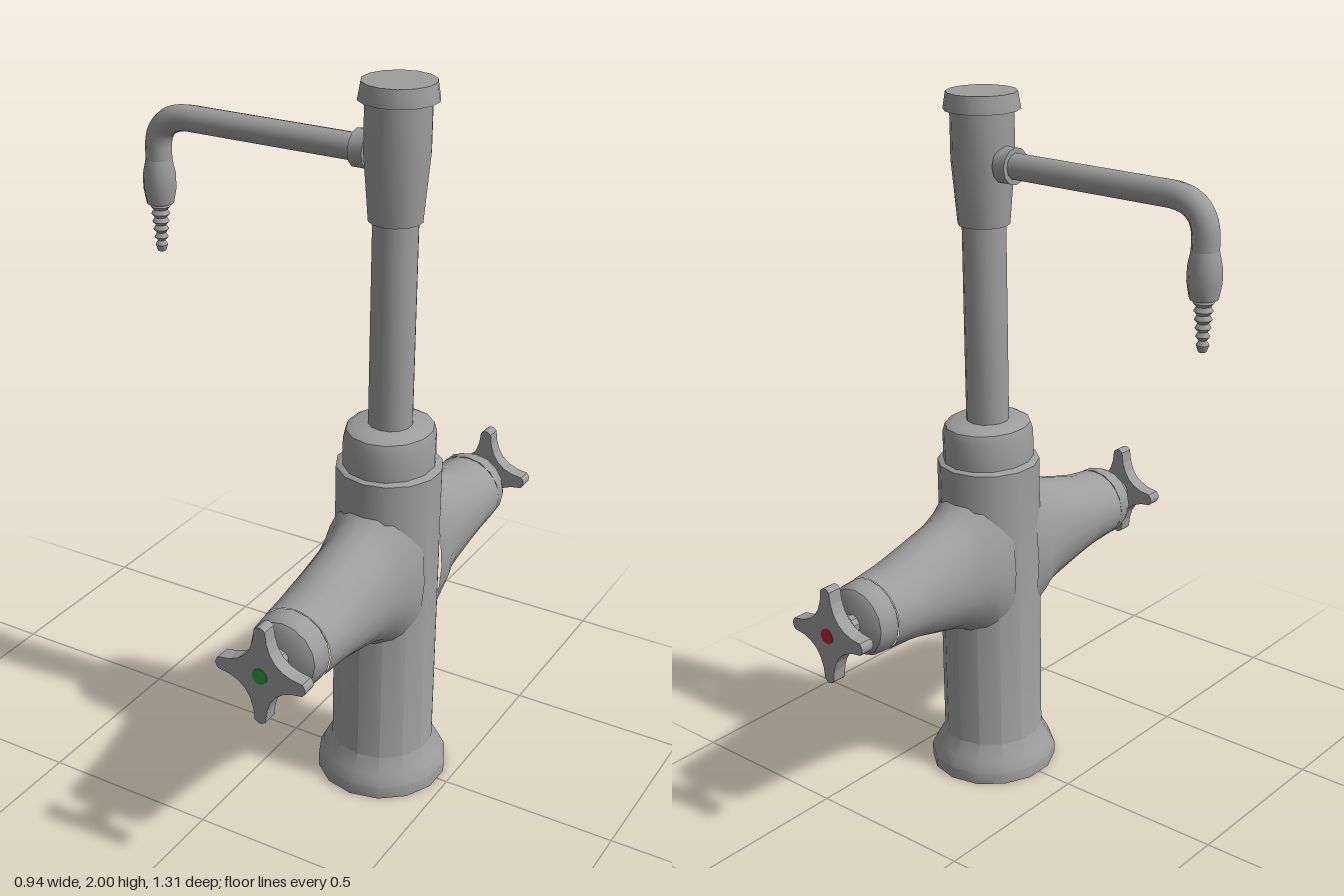
import * as THREE from 'three';
import { toCreasedNormals } from 'three/addons/utils/BufferGeometryUtils.js';

const AXIS_X = 0.29; // column axis
const ARM_Y = 0.662; // height of the side valves

export function createModel() {
  const mat = (name, color) => {
    const m = new THREE.MeshStandardMaterial({ color });
    m.name = name;
    return m;
  };
  const metal = mat('grey metal', 0x9e9e9e);
  const green = mat('green marker', 0x2c9a3c);
  const red = mat('red marker', 0xb8283c);

  const model = new THREE.Group();
  model.name = 'labTap';

  const add = (parent, name, geometry, material = metal) => {
    const mesh = new THREE.Mesh(geometry, material);
    mesh.name = name;
    parent.add(mesh);
    return mesh;
  };
  // Profile points are [radius, height], listed from bottom to top
  const turned = (points, sides = 14) => toCreasedNormals(
    new THREE.LatheGeometry(points.map(([r, y]) => new THREE.Vector2(r, y)), sides), 0.6);

  // Column: flared foot, body, collar, riser pipe, head and lid
  const column = new THREE.Group();
  column.name = 'column';
  column.position.x = AXIS_X;
  column.scale.x = 0.98;
  model.add(column);
  add(column, 'body', turned([[0, 0], [0.187, 0], [0.187, 0.035], [0.172, 0.065], [0.147, 0.11],
    [0.147, 0.965], [0.136, 0.972], [0, 0.972]]));
  add(column, 'collar', turned([[0.136, 0.965], [0.136, 1.05], [0.128, 1.075], [0.108, 1.086], [0, 1.086]]))
    .scale.x = 0.92;
  add(column, 'riserPipe', turned([[0.061, 1.07], [0.061, 1.66]]));
  add(column, 'head', turned([[0, 1.645], [0.072, 1.645], [0.08, 1.74], [0.087, 1.82], [0.087, 1.96]]));
  add(column, 'lid', turned([[0, 1.953], [0.105, 1.953], [0.097, 2], [0, 2]]));

  // Spout: socket, bent tube, nozzle and barbed hose tip
  const spout = new THREE.Group();
  spout.name = 'spout';
  model.add(spout);
  const socket = add(spout, 'spoutSocket', turned([[0, -0.02], [0.05, -0.02], [0.05, 0.02], [0, 0.02]], 12));
  socket.rotation.z = Math.PI / 2;
  socket.position.set(0.195, 1.815, 0);
  const path = new THREE.CurvePath();
  const v = (x, y) => new THREE.Vector3(x, y, 0);
  path.add(new THREE.LineCurve3(v(0.24, 1.815), v(-0.32, 1.815)));
  path.add(new THREE.CubicBezierCurve3(v(-0.32, 1.815), v(-0.39, 1.815), v(-0.43, 1.785), v(-0.43, 1.72)));
  path.add(new THREE.LineCurve3(v(-0.43, 1.72), v(-0.43, 1.66)));
  add(spout, 'spoutTube', new THREE.TubeGeometry(path, 48, 0.036, 12, false));
  const nozzle = add(spout, 'nozzle', turned([[0, 1.567], [0.037, 1.567], [0.045, 1.61], [0.044, 1.65],
    [0.036, 1.69], [0, 1.69]], 12));
  nozzle.position.x = -0.43;
  const barbs = [[0, 1.43], [0.011, 1.43]];
  for (let i = 0; i < 6; i++) {
    const y = 1.438 + i * 0.022;
    const r = 0.017 + i * 0.0022;
    barbs.push([r, y + 0.01], [r - 0.007, y + 0.022]);
  }
  barbs.push([0.022, 1.575]);
  add(spout, 'hoseTip', turned(barbs, 12)).position.x = -0.43;

  // Arm cross-sections: [z, half width, top, bottom] relative to the arm axis
  const sections = [
    [0.05, 0.142, 0.29, 0.27], [0.12, 0.139, 0.23, 0.2], [0.15, 0.131, 0.203, 0.178],
    [0.2, 0.12, 0.178, 0.157], [0.28, 0.115, 0.154, 0.137], [0.36, 0.113, 0.13, 0.117],
    [0.41, 0.111, 0.117, 0.108], [0.49, 0.107, 0.105, 0.104],
  ];
  const armGeometry = () => {
    const sides = 20;
    const geo = new THREE.CylinderGeometry(1, 1, 1, sides, sections.length - 1, true);
    const p = geo.attributes.position;
    for (let i = 0; i < p.count; i++) {
      const s = sections[sections.length - 1 - Math.floor(i / (sides + 1))];
      const x = p.getX(i);
      const y = -p.getZ(i);
      p.setXYZ(i, x * s[1], y * (y > 0 ? s[2] : s[3]), s[0]);
    }
    geo.computeVertexNormals();
    return geo;
  };

  // Cross handle outline with four tapering spokes
  const handleGeometry = () => {
    const shape = new THREE.Shape();
    const turn = (x, y, k) => {
      const a = k * Math.PI / 2;
      return [x * Math.cos(a) - y * Math.sin(a), x * Math.sin(a) + y * Math.cos(a)];
    };
    shape.moveTo(0.131, -0.017);
    for (let k = 0; k < 4; k++) {
      shape.quadraticCurveTo(...turn(0.148, 0, k), ...turn(0.131, 0.017, k));
      shape.quadraticCurveTo(...turn(0.022, 0.022, k), ...turn(0.017, 0.131, k));
    }
    return new THREE.ExtrudeGeometry(shape, { depth: 0.041, bevelEnabled: false, curveSegments: 6 });
  };

  // One valve per side, the rear one turned about the column
  const makeValve = (name, angle, marker) => {
    const valve = new THREE.Group();
    valve.name = name;
    valve.position.set(AXIS_X, ARM_Y, 0);
    valve.rotation.y = angle;
    model.add(valve);
    add(valve, 'arm', armGeometry());
    const alongZ = (part, points, sides) => {
      add(valve, part, turned(points, sides)).rotation.x = Math.PI / 2;
    };
    alongZ('valveCap', [[0, 0.485], [0.1, 0.485], [0.1, 0.493], [0.106, 0.493], [0.104, 0.525],
      [0.094, 0.547], [0.074, 0.559], [0, 0.559]], 16);
    alongZ('stem', [[0.027, 0.55], [0.027, 0.62]], 10);
    alongZ('stemRing', [[0, 0.588], [0.04, 0.588], [0.04, 0.616], [0, 0.616]], 10);
    const handle = add(valve, 'crossHandle', handleGeometry());
    handle.position.z = 0.613;
    handle.scale.x = 0.93;
    // Temperature marker
    const dot = add(valve, 'marker', new THREE.CylinderGeometry(0.022, 0.022, 0.004, 12), marker);
    dot.rotation.x = Math.PI / 2;
    dot.position.z = 0.654;
  };
  makeValve('frontValve', 0, green);
  makeValve('backValve', Math.PI, red);

  return model;
}
